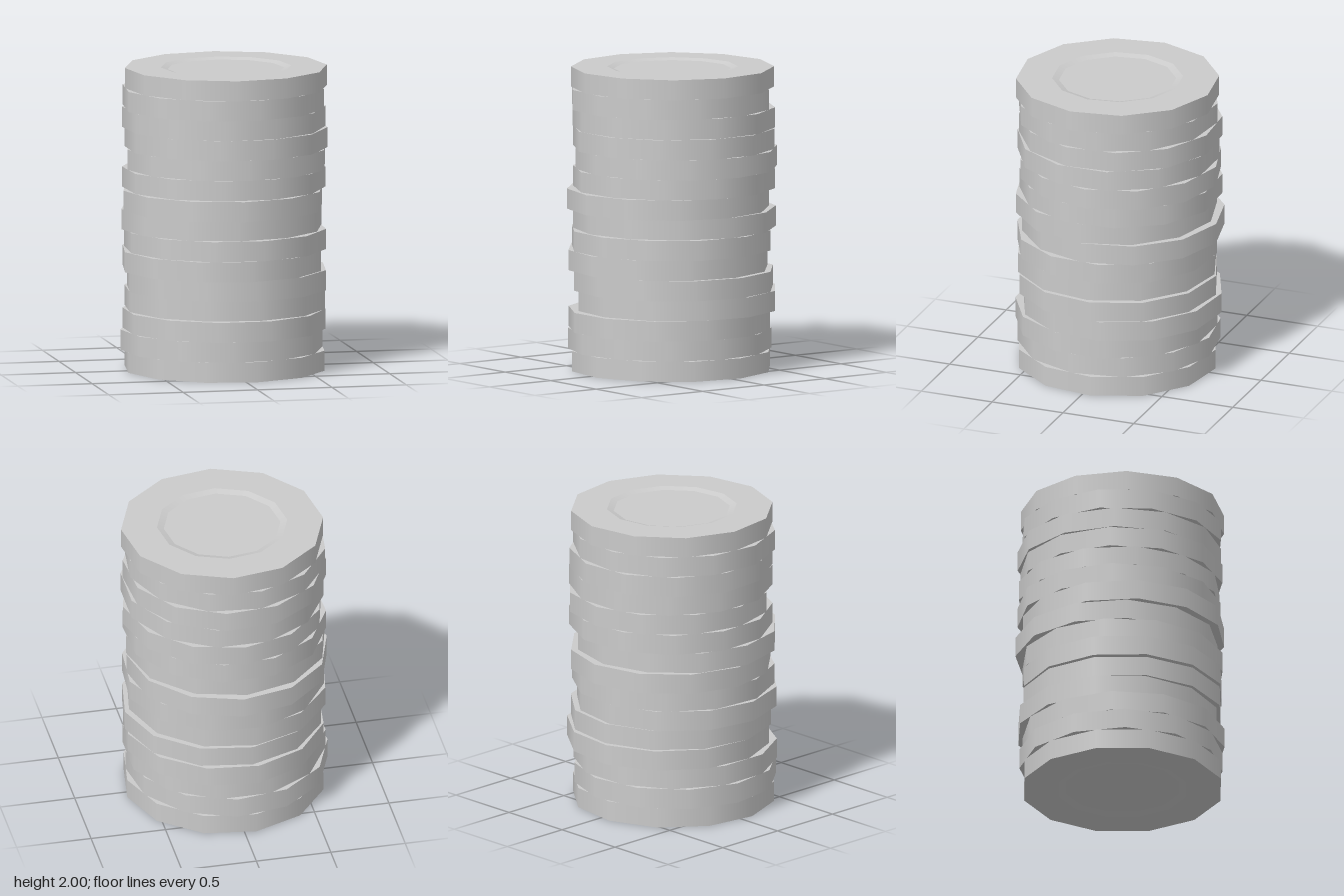
import * as THREE from 'three';
import { mergeGeometries } from 'three/addons/utils/BufferGeometryUtils.js';

const SIDES = 12, R = 0.667, H = 2 / 15;

// One coin: smooth side, flat faces, shallow recessed disc on both faces.
// Each profile segment is its own lathe so the edges stay sharp.
function coinGeometry() {
  const depth = 0.013, rOut = 0.43, rIn = 0.385, h = H / 2;
  const profile = [
    [0, -h + depth], [rIn, -h + depth], [rOut, -h], [R, -h],
    [R, h], [rOut, h], [rIn, h - depth], [0, h - depth],
  ].map(([x, y]) => new THREE.Vector2(x, y));
  const bands = [];
  for (let i = 0; i < profile.length - 1; i++) {
    bands.push(new THREE.LatheGeometry([profile[i], profile[i + 1]], SIDES));
  }
  return mergeGeometries(bands);
}

// Placement of each coin from the top down: x, z, turn in degrees
const COINS = [
  [0.008, 0.01, 6], [-0.01, 0.012, -9], [-0.003, -0.008, 11],
  [0.01, 0.002, 15], [0.015, -0.015, -1], [-0.003, -0.01, 12.5],
  [-0.018, 0.028, 0], [-0.015, -0.022, 2.5], [0, 0.015, -11],
  [-0.022, 0.025, -5], [0.012, 0.005, -5.7], [0.008, -0.025, -8.5],
  [-0.008, 0.025, 15], [-0.022, 0.012, 6], [-0.002, 0.015, -6.7],
];

export function createModel() {
  const stack = new THREE.Group();
  stack.name = 'coinStack';
  const geometry = coinGeometry();
  const material = new THREE.MeshStandardMaterial({ color: 0xcccccc });
  COINS.forEach(([x, z, turn], i) => {
    const coin = new THREE.Mesh(geometry, material);
    coin.name = `coin${COINS.length - i}`;
    coin.position.set(x, 2 - H * (i + 0.5), z);
    coin.rotation.y = -THREE.MathUtils.degToRad(turn);
    stack.add(coin);
  });
  return stack;
}
